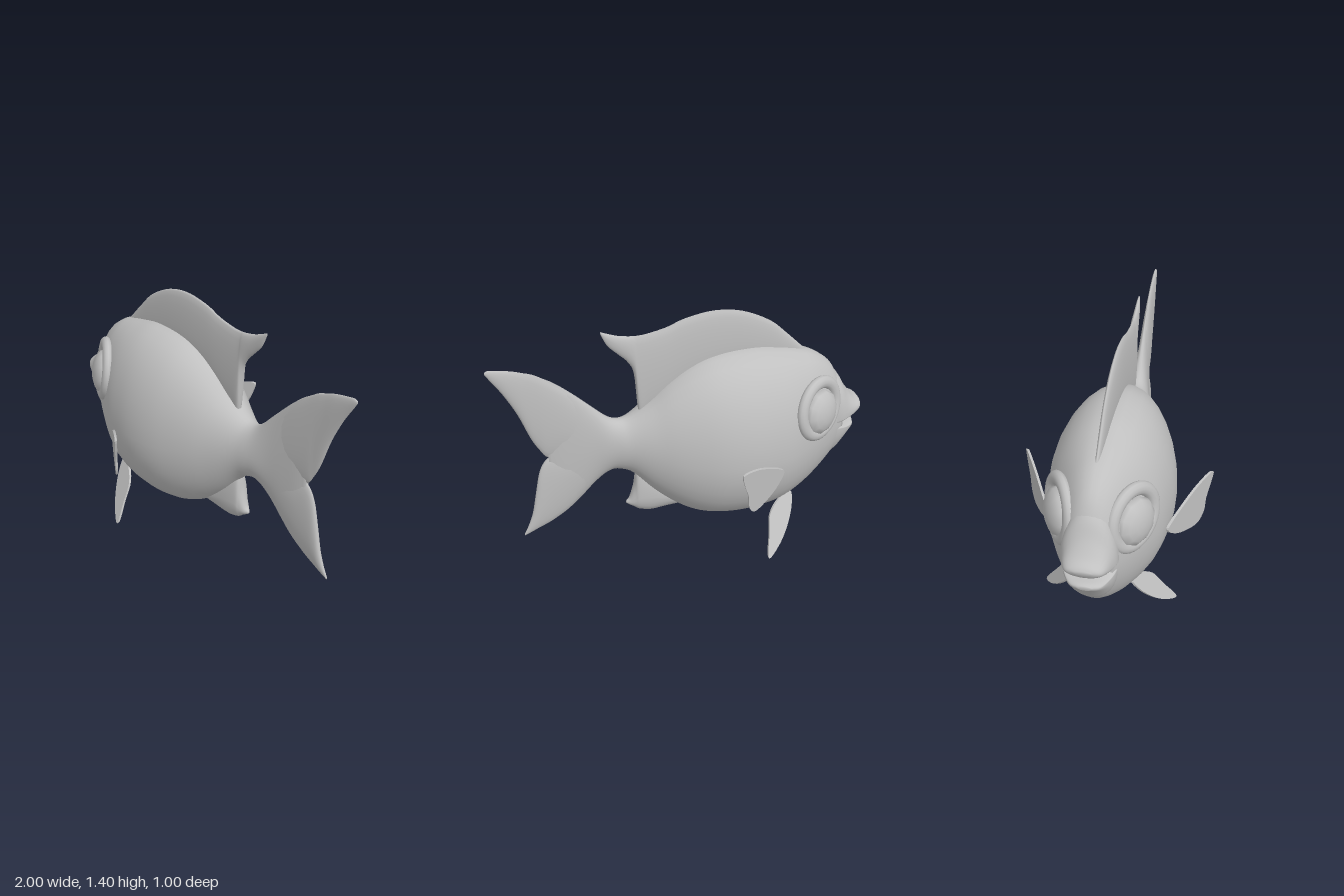
import * as THREE from 'three';

const grey = new THREE.MeshStandardMaterial({ color: 0xc0c0c0 });
grey.name = 'fish grey';

// Smooth skin through cross-sections; rows are [x, top, bottom, halfWidth, widestHeight]
function loft(rows, steps, segs = 32) {
  const edge = new THREE.CatmullRomCurve3(rows.map(r => new THREE.Vector3(r[0], r[1], r[2])), false, 'catmullrom', 0.5);
  const girth = new THREE.CatmullRomCurve3(rows.map(r => new THREE.Vector3(r[3], r[4], 0)), false, 'catmullrom', 0.5);
  const pos = [], index = [];
  for (let i = 0; i <= steps; i++) {
    const e = edge.getPoint(i / steps), g = girth.getPoint(i / steps);
    for (let j = 0; j < segs; j++) {
      const a = (j / segs) * Math.PI * 2, s = Math.sin(a);
      pos.push(e.x, g.y + s * (s > 0 ? e.y - g.y : g.y - e.z), g.x * Math.cos(a));
    }
  }
  for (let i = 0; i < steps; i++) {
    for (let j = 0; j < segs; j++) {
      const a = i * segs + j, b = i * segs + (j + 1) % segs;
      index.push(a, a + segs, b, b, a + segs, b + segs);
    }
  }
  // End caps
  const first = rows[0], last = rows[rows.length - 1], c = pos.length / 3, end = steps * segs;
  pos.push(first[0], first[4], 0, last[0], last[4], 0);
  for (let j = 0; j < segs; j++) {
    const k = (j + 1) % segs;
    index.push(c, j, k, c + 1, end + k, end + j);
  }
  const geo = new THREE.BufferGeometry();
  geo.setAttribute('position', new THREE.Float32BufferAttribute(pos, 3));
  geo.setIndex(index);
  geo.computeVertexNormals();
  return geo;
}

// Thin fin from an outline, leaned outwards by a rule z = lean(x, y)
function plate(outline, side, lean) {
  const curve = new THREE.CatmullRomCurve3(outline.map(p => new THREE.Vector3(p[0], p[1], 0)), true);
  const shape = new THREE.Shape(curve.getPoints(44).slice(0, -1).map(p => new THREE.Vector2(p.x, p.y)));
  const geo = new THREE.ExtrudeGeometry(shape, { depth: 0.014, bevelEnabled: false });
  geo.translate(0, 0, -0.007);
  const p = geo.attributes.position;
  for (let i = 0; i < p.count; i++) p.setZ(i, p.getZ(i) + side * lean(p.getX(i), p.getY(i)));
  geo.computeVertexNormals();
  return geo;
}

export function createModel() {
  const fish = new THREE.Group();
  fish.name = 'fish';
  const add = (name, geo, parent = fish) => {
    const mesh = new THREE.Mesh(geo, grey);
    mesh.name = name;
    parent.add(mesh);
    return mesh;
  };

  // Body running into the root of the tail
  add('body', loft([
    [-0.87, 0.89, 0.47, 0.115, 0.66], [-0.8, 1.01, 0.37, 0.15, 0.65], [-0.7, 1.085, 0.28, 0.205, 0.64],
    [-0.6, 1.12, 0.22, 0.255, 0.63], [-0.5, 1.145, 0.185, 0.295, 0.62], [-0.4, 1.165, 0.17, 0.315, 0.62],
    [-0.3, 1.17, 0.165, 0.325, 0.62], [-0.2, 1.165, 0.17, 0.32, 0.62], [-0.1, 1.145, 0.185, 0.3, 0.625],
    [0, 1.1, 0.225, 0.265, 0.635], [0.1, 1.03, 0.295, 0.22, 0.65], [0.2, 0.94, 0.39, 0.165, 0.67],
    [0.3, 0.87, 0.51, 0.11, 0.69], [0.36, 0.855, 0.545, 0.085, 0.7], [0.42, 0.88, 0.548, 0.066, 0.7],
    [0.5, 0.96, 0.49, 0.048, 0.7], [0.6, 1.06, 0.385, 0.035, 0.7], [0.68, 1.13, 0.32, 0.024, 0.7],
    [0.74, 1.17, 0.28, 0.01, 0.69],
  ], 72));

  // Lips, with the open mouth between them
  add('upperLip', loft([
    [-1, 0.748, 0.73, 0.035, 0.74], [-0.985, 0.765, 0.7, 0.08, 0.73], [-0.95, 0.787, 0.672, 0.105, 0.72],
    [-0.9, 0.85, 0.66, 0.123, 0.7], [-0.85, 0.935, 0.655, 0.137, 0.69], [-0.78, 1.0, 0.6, 0.13, 0.68],
  ], 20));
  add('lowerLip', loft([
    [-0.97, 0.622, 0.6, 0.03, 0.612], [-0.95, 0.63, 0.575, 0.075, 0.61], [-0.9, 0.635, 0.5, 0.11, 0.62],
    [-0.85, 0.66, 0.43, 0.13, 0.63], [-0.78, 0.7, 0.37, 0.13, 0.62],
  ], 20));

  // Tail lobes
  add('upperTailLobe', loft([
    [0.55, 1.0, 0.66, 0.034, 0.8], [0.65, 1.1, 0.67, 0.03, 0.86], [0.74, 1.17, 0.69, 0.025, 0.92],
    [0.78, 1.195, 0.745, 0.022, 0.97], [0.82, 1.21, 0.83, 0.02, 1.02], [0.87, 1.228, 0.98, 0.018, 1.1],
    [0.93, 1.242, 1.11, 0.014, 1.18], [0.98, 1.25, 1.195, 0.009, 1.225], [1, 1.243, 1.23, 0.004, 1.237],
  ], 32, 20));
  add('lowerTailLobe', loft([
    [0.55, 0.44, 0.73, 0.034, 0.6].map((v, i, r) => (i === 1 ? r[2] : i === 2 ? r[1] : v)),
    [0.65, 0.71, 0.34, 0.03, 0.55], [0.74, 0.69, 0.28, 0.025, 0.48], [0.79, 0.62, 0.255, 0.022, 0.42],
    [0.82, 0.5, 0.243, 0.019, 0.36], [0.85, 0.36, 0.23, 0.015, 0.29], [0.88, 0.275, 0.217, 0.01, 0.245],
    [0.91, 0.215, 0.205, 0.004, 0.21],
  ], 32, 20));

  // Back fin and belly fin on the centre line
  add('dorsalFin', loft([
    [-0.66, 1.1, 1.04, 0.01, 1.07], [-0.55, 1.21, 1.04, 0.016, 1.12], [-0.45, 1.3, 1.05, 0.02, 1.16],
    [-0.3, 1.375, 1.05, 0.024, 1.2], [-0.15, 1.4, 1.03, 0.026, 1.2], [0, 1.38, 0.98, 0.026, 1.17],
    [0.1, 1.345, 0.92, 0.026, 1.13], [0.2, 1.325, 0.87, 0.025, 1.1], [0.25, 1.322, 0.85, 0.024, 1.1],
    [0.27, 1.323, 1.1, 0.022, 1.2], [0.3, 1.327, 1.18, 0.02, 1.25], [0.35, 1.338, 1.235, 0.016, 1.29],
    [0.4, 1.357, 1.29, 0.011, 1.33], [0.43, 1.37, 1.355, 0.004, 1.362],
  ], 56, 20));
  add('analFin', loft([
    [0, 0.34, 0.245, 0.06, 0.3], [0.1, 0.42, 0.237, 0.06, 0.32], [0.2, 0.52, 0.226, 0.055, 0.34],
    [0.27, 0.54, 0.243, 0.045, 0.34], [0.295, 0.42, 0.262, 0.035, 0.32], [0.32, 0.335, 0.28, 0.022, 0.305],
    [0.342, 0.308, 0.295, 0.006, 0.302],
  ], 28, 20));

  for (const side of [1, -1]) {
    const label = side > 0 ? 'left' : 'right';

    // Side fins swept back, and belly fins splayed down
    add(label + 'PectoralFin', plate([
      [-0.15, 0.722], [-0.25, 0.7], [-0.35, 0.642], [-0.42, 0.592], [-0.45, 0.555], [-0.4, 0.49],
      [-0.32, 0.45], [-0.24, 0.44], [-0.2, 0.49], [-0.19, 0.57], [-0.16, 0.66],
    ], side, x => 0.325 + 0.61 * (x + 0.42)));
    add(label + 'PelvicFin', plate([
      [-0.57, 0.285], [-0.49, 0.265], [-0.42, 0.205], [-0.4, 0.12], [-0.375, 0.005], [-0.45, 0.05],
      [-0.52, 0.13], [-0.565, 0.22],
    ], side, (x, y) => 0.345 - 0.6 * y + 0.2 * (x + 0.45)));

    // Faceted eyeball in a raised socket rim, turned towards the snout
    const eye = new THREE.Group();
    eye.name = label + 'Eye';
    eye.position.set(-0.69, 0.81, side * 0.185);
    eye.lookAt(-0.69 - 0.5, 0.81 + 0.15, side * (0.185 + 0.86));
    const ball = new THREE.SphereGeometry(0.125, 10, 8);
    ball.rotateX(Math.PI / 2);
    add(label + 'Eyeball', ball, eye).scale.z = 0.5;
    const rim = add(label + 'EyeRim', new THREE.TorusGeometry(0.145, 0.035, 12, 32), eye);
    rim.scale.z = 0.8;
    rim.position.set(0, 0.02, -0.005);
    fish.add(eye);
  }
  return fish;
}
